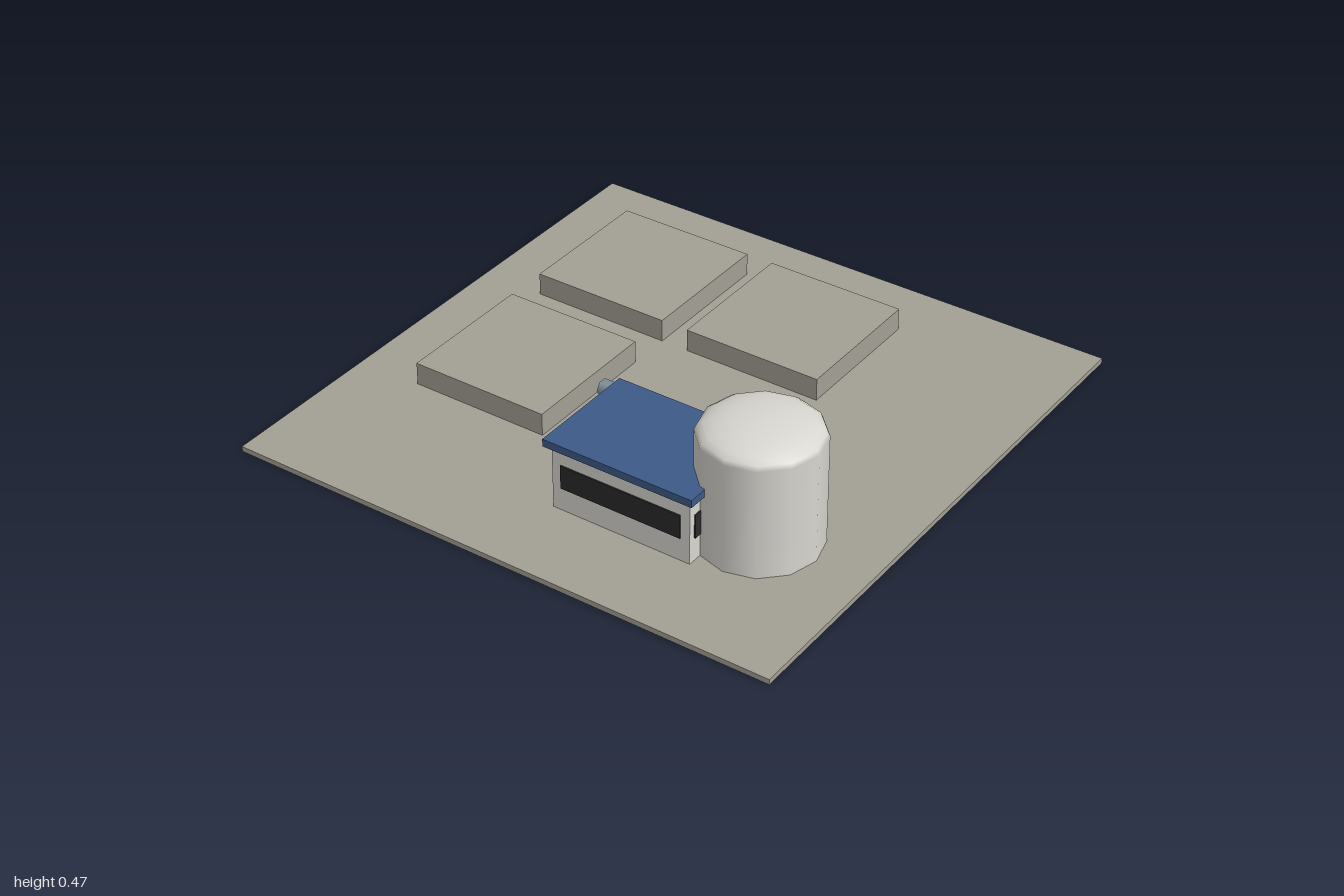
import * as THREE from 'three';

const mat = (name, color) => {
  const m = new THREE.MeshStandardMaterial({ color });
  m.name = name;
  return m;
};

export function createModel() {
  const model = new THREE.Group();
  model.name = 'industrialSite';

  const concrete = mat('concrete', 0xa39f95);
  const offWhite = mat('offWhite', 0xd8d6d0);
  const roofBlue = mat('roofBlue', 0x3d5a87);
  const darkGlass = mat('darkGlass', 0x2a2a2a);
  const steel = mat('steel', 0x84919c);

  const add = (parent, name, geometry, material, x, y, z) => {
    const mesh = new THREE.Mesh(geometry, material);
    mesh.name = name;
    mesh.position.set(x, y, z);
    parent.add(mesh);
    return mesh;
  };
  const box = (parent, name, material, w, h, d, x, y, z) =>
    add(parent, name, new THREE.BoxGeometry(w, h, d), material, x, y, z);

  // Ground slab
  box(model, 'groundSlab', concrete, 2, 0.019, 2, 0, 0.0105, 0);

  // Raised foundation pads
  for (const [x, z] of [[-0.51, -0.51], [0.1, -0.51], [-0.51, 0.153]]) {
    box(model, 'foundationPad', concrete, 0.51, 0.09, 0.51, x, 0.056, z);
  }

  // Control building with overhanging roof
  const building = new THREE.Group();
  building.name = 'building';
  building.position.set(0.255, 0, 0.51);
  model.add(building);
  box(building, 'walls', offWhite, 0.51, 0.24, 0.36, 0, 0.13, 0);
  box(building, 'roof', roofBlue, 0.55, 0.027, 0.4, 0, 0.2635, 0);

  // Window bands on all four walls
  for (const side of [-1, 1]) {
    box(building, 'longWindow', darkGlass, 0.444, 0.085, 0.008, 0, 0.147, side * 0.181);
    box(building, 'endWindow', darkGlass, 0.008, 0.085, 0.313, side * 0.256, 0.147, 0);
  }

  // Storage tank with a shallow dome
  const tank = new THREE.Group();
  tank.name = 'storageTank';
  tank.position.set(0.61, 0, 0.46);
  model.add(tank);
  add(tank, 'tankShell', new THREE.CylinderGeometry(0.203, 0.203, 0.41, 12), offWhite, 0, 0.205, 0);
  const dome = add(tank, 'tankDome',
    new THREE.SphereGeometry(0.203, 12, 6, 0, Math.PI * 2, 0, Math.PI / 2), offWhite, 0, 0.41, 0);
  dome.scale.y = 0.3;

  // Horizontal pipe behind the building
  const pipe = add(model, 'pipe', new THREE.CylinderGeometry(0.03, 0.03, 0.815, 6), steel, 0.203, 0.083, 0.153);
  pipe.rotation.z = Math.PI / 2;

  return model;
}
